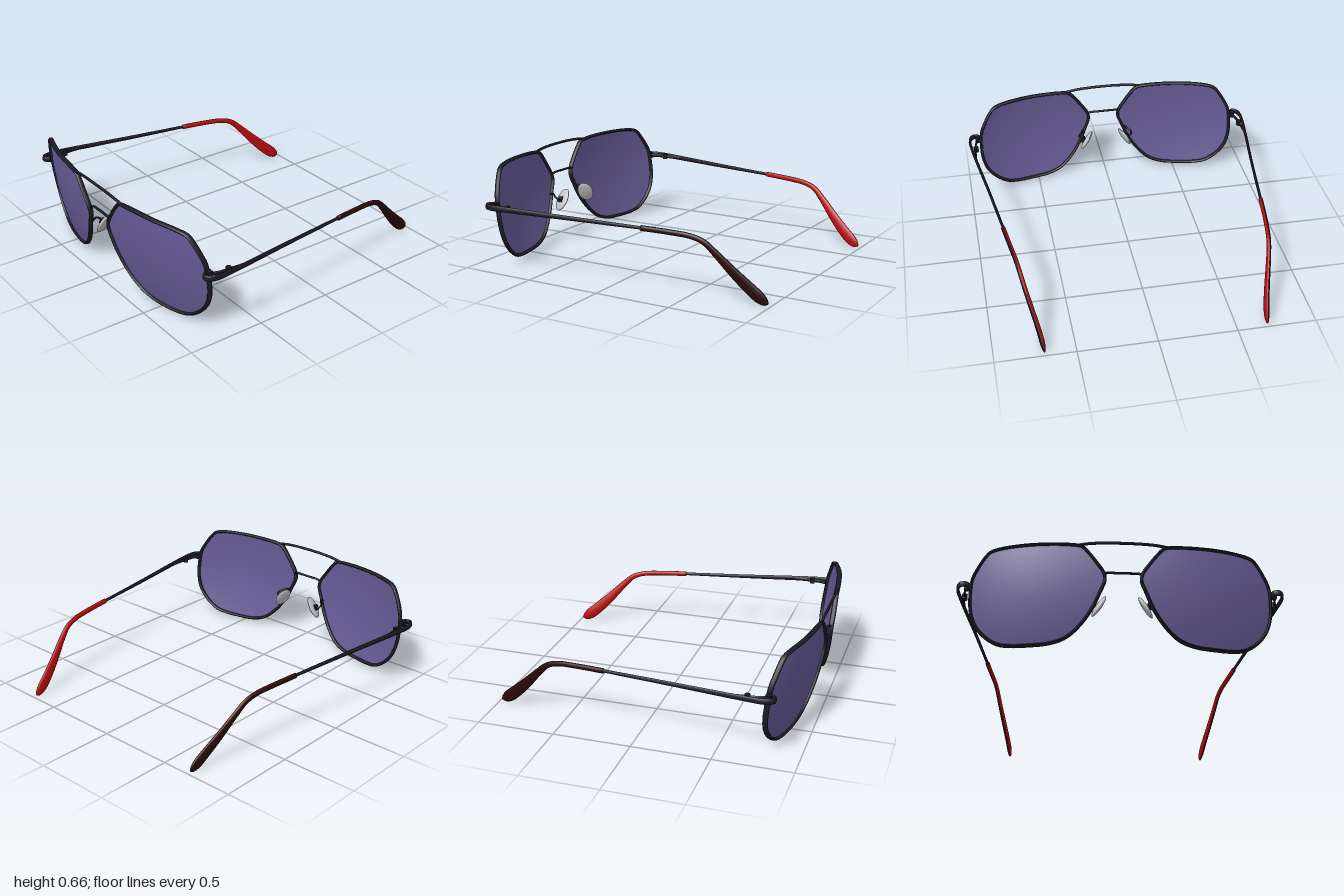
import * as THREE from 'three';

const V = (p) => new THREE.Vector3(...p);
const curveOf = (pts, closed = false) => new THREE.CatmullRomCurve3(pts.map(V), closed, 'centripetal');
const mat = (name, color, side = THREE.FrontSide) => {
  const m = new THREE.MeshStandardMaterial({ color, side });
  m.name = name;
  return m;
};

// Curved face of the glasses: wraps back at the temples and tucks in at the bottom
const faceZ = (x, y) => 0.985 - 0.23 * Math.abs(x) ** 3 - 0.3 * (0.57 - y) ** 2;

function build(pos, idx) {
  const g = new THREE.BufferGeometry();
  g.setAttribute('position', new THREE.Float32BufferAttribute(pos, 3));
  g.setIndex(idx);
  g.computeVertexNormals();
  return g;
}

// Sweep an elliptical section (or an arc of it) along a curve.
// size(t) gives the half size along ref and the half size across it.
function sweep(curve, ref, steps, size, { closed = false, from = 0, to = Math.PI * 2, sides = 12 } = {}) {
  const pos = [], idx = [], w = sides + 1;
  for (let i = 0; i <= steps; i++) {
    const t = i / steps, p = curve.getPointAt(t), T = curve.getTangentAt(t);
    const R = ref.clone().addScaledVector(T, -ref.dot(T)).normalize();
    const N = T.clone().cross(R);
    const [a, b] = size(t);
    for (let j = 0; j <= sides; j++) {
      const u = from + (to - from) * j / sides;
      pos.push(...p.clone().addScaledVector(R, a * Math.cos(u)).addScaledVector(N, b * Math.sin(u)).toArray());
    }
  }
  for (let i = 0; i < steps; i++) for (let j = 0; j < sides; j++) {
    const a = i * w + j, b = a + w;
    idx.push(a, a + 1, b + 1, a, b + 1, b);
  }
  if (!closed) {
    for (const end of [0, 1]) {
      const c = pos.length / 3, o = end * steps * w;
      pos.push(...curve.getPointAt(end).toArray());
      for (let j = 0; j < sides; j++) idx.push(c, o + j + end, o + j + 1 - end);
      if (end === 0) for (let k = idx.length - sides * 3; k < idx.length; k += 3) {
        idx[k + 1] = o + (k - idx.length + sides * 3) / 3 + 1;
        idx[k + 2] = idx[k + 1] - 1;
      }
      else for (let k = idx.length - sides * 3; k < idx.length; k += 3) {
        idx[k + 1] = o + (k - idx.length + sides * 3) / 3;
        idx[k + 2] = idx[k + 1] + 1;
      }
    }
  }
  return build(pos, idx);
}

// Copy reflected in x, with the corner order restored
function mirrored(geo) {
  const g = geo.clone().scale(-1, 1, 1), ix = g.index;
  for (let k = 0; k < ix.count; k += 3) {
    const b = ix.getX(k + 1);
    ix.setX(k + 1, ix.getX(k + 2));
    ix.setX(k + 2, b);
  }
  return g;
}

export function createModel() {
  const root = new THREE.Group();
  root.name = 'sunglasses';
  const frame = mat('frameBlack', 0x1c1a24);
  const glass = mat('lensViolet', 0x655a94, THREE.DoubleSide);
  const maroon = mat('tipMaroon', 0x2a0b0b);
  const red = mat('tipRed', 0xb80c0c);
  const padMat = mat('padGrey', 0xc4c4c8);
  const X = V([1, 0, 0]), Y = V([0, 1, 0]), Z = V([0, 0, 1]);

  const add = (name, geo, m) => {
    const mesh = new THREE.Mesh(geo, m);
    mesh.name = name;
    root.add(mesh);
  };
  const pair = (name, geo, m) => {
    add('left' + name, geo, m);
    add('right' + name, mirrored(geo), m);
  };

  // Lens outline, counter-clockwise from the front
  const outline = curveOf([
    [0.107, 0.41], [0.135, 0.335], [0.18, 0.235], [0.25, 0.135], [0.33, 0.065], [0.42, 0.034], [0.55, 0.026],
    [0.66, 0.032], [0.73, 0.05], [0.81, 0.108], [0.87, 0.19], [0.898, 0.29], [0.9, 0.4], [0.892, 0.47],
    [0.865, 0.53], [0.815, 0.607], [0.79, 0.63], [0.74, 0.642], [0.55, 0.648], [0.3, 0.639], [0.245, 0.628],
    [0.21, 0.592], [0.15, 0.51], [0.115, 0.455],
  ].map(([x, y]) => [x, y, faceZ(x, y)]), true);

  // Lens: rings growing from the middle to the outline
  const n = 96, rings = 8, cx = 0.52, cy = 0.35;
  const edge = outline.getSpacedPoints(n).slice(0, n);
  const pos = [cx, cy, faceZ(cx, cy)], idx = [];
  for (let k = 1; k <= rings; k++) for (const p of edge) {
    const x = cx + (p.x - cx) * k / rings, y = cy + (p.y - cy) * k / rings;
    pos.push(x, y, faceZ(x, y));
  }
  for (let j = 0; j < n; j++) {
    const j2 = (j + 1) % n;
    idx.push(0, 1 + j, 1 + j2);
    for (let k = 0; k < rings - 1; k++) {
      const a = 1 + k * n + j, b = 1 + k * n + j2;
      idx.push(a, a + n, b + n, a, b + n, b);
    }
  }
  pair('Lens', build(pos, idx), glass);
  pair('Rim', sweep(outline, Z, 140, () => [0.017, 0.01], { closed: true, sides: 10 }), frame);

  // Two bridges
  const bar = curveOf([[-0.27, 0.638, 0.98], [-0.2, 0.648, 0.985], [-0.1, 0.654, 0.987], [0, 0.655, 0.988],
    [0.1, 0.654, 0.987], [0.2, 0.648, 0.985], [0.27, 0.638, 0.98]]);
  add('browBar', sweep(bar, Z, 40, () => [0.009, 0.009]), frame);
  const low = curveOf([[-0.112, 0.45, 0.978], [-0.09, 0.462, 0.968], [-0.05, 0.464, 0.965], [0.05, 0.464, 0.965],
    [0.09, 0.462, 0.968], [0.112, 0.45, 0.978]]);
  add('lowerBridge', sweep(low, Z, 30, () => [0.009, 0.007]), frame);

  // Temple arm with the hooked end piece at the front
  const arm = curveOf([[0.905, 0.422, 0.815], [0.915, 0.422, 0.845], [0.94, 0.422, 0.858], [0.965, 0.422, 0.84],
    [0.978, 0.422, 0.79], [0.972, 0.422, 0.7], [0.952, 0.419, 0.55], [0.9, 0.411, 0.2], [0.84, 0.402, -0.24]]);
  pair('Arm', sweep(arm, Y, 70, (t) => [0.02 - 0.01 * t, 0.009]), frame);

  // Hinge: block at the rim, barrel and thin spring strand
  pair('EndBlock', new THREE.BoxGeometry(0.04, 0.038, 0.035).translate(0.918, 0.422, 0.815), frame);
  pair('HingeBarrel', new THREE.CylinderGeometry(0.017, 0.017, 0.036, 16).translate(0.942, 0.42, 0.695), frame);
  const strand = curveOf([[0.915, 0.421, 0.82], [0.938, 0.421, 0.76], [0.944, 0.421, 0.69], [0.95, 0.419, 0.62],
    [0.95, 0.418, 0.54]]);
  pair('HingeStrand', sweep(strand, Y, 24, () => [0.012, 0.006]), frame);

  // Arm tip: dark outer half and red inner half
  const tip = curveOf([[0.843, 0.402, -0.22], [0.818, 0.396, -0.4], [0.798, 0.385, -0.53], [0.785, 0.358, -0.61],
    [0.768, 0.295, -0.68], [0.738, 0.19, -0.78], [0.71, 0.095, -0.88], [0.696, 0.035, -0.955], [0.693, 0.02, -0.985]]);
  const tipSize = (t) => {
    const grow = THREE.MathUtils.smoothstep(t, 0.35, 0.92);
    const end = Math.sqrt(Math.max(0.02, 1 - Math.max(0, (t - 0.9) / 0.1) ** 2));
    return [(0.014 + 0.002 * grow) * end, (0.017 + 0.023 * grow) * end];
  };
  const q = Math.PI / 2;
  pair('TipOuter', sweep(tip, X, 60, tipSize, { from: -q, to: q }), maroon);
  pair('TipInner', sweep(tip, X, 60, tipSize, { from: q, to: 3 * q }), red);

  // Nose pads on wire arms
  const pad = new THREE.SphereGeometry(1, 24, 16).scale(0.017, 0.08, 0.056);
  pad.applyMatrix4(new THREE.Matrix4().makeRotationFromEuler(new THREE.Euler(0, -0.35, 0.5, 'YXZ')));
  pair('NosePad', pad.translate(0.138, 0.288, 0.872), padMat);
  const wire = curveOf([[0.155, 0.32, 0.96], [0.165, 0.325, 0.925], [0.19, 0.315, 0.895], [0.185, 0.3, 0.87],
    [0.15, 0.29, 0.87]]);
  pair('PadWire', sweep(wire, Y, 24, () => [0.007, 0.007], { sides: 8 }), frame);
  pair('PadMount', new THREE.BoxGeometry(0.012, 0.04, 0.03).rotateZ(0.5).translate(0.165, 0.297, 0.872), frame);

  return root;
}
